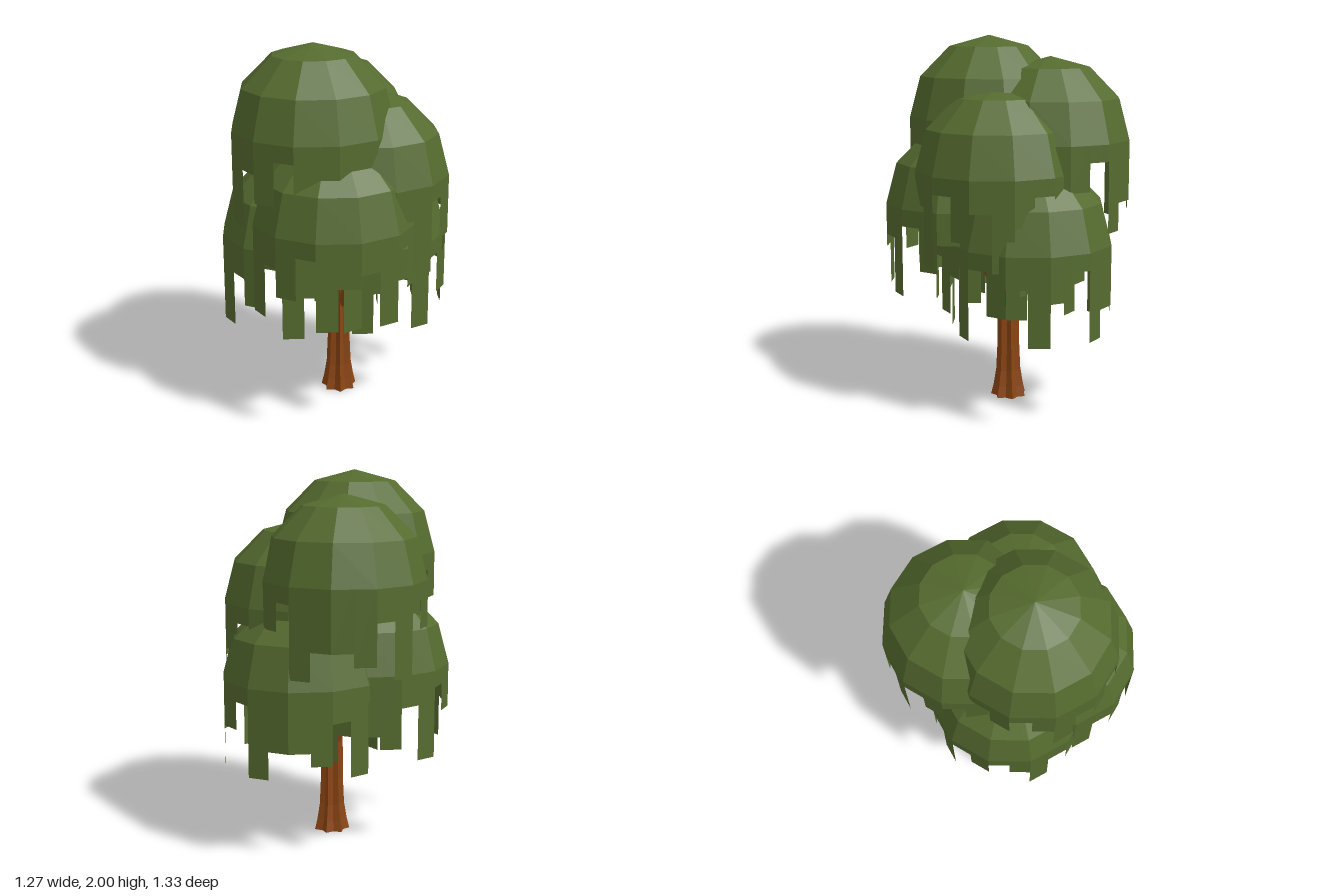
import * as THREE from 'three';

const R = 0.44;
const leaf = new THREE.MeshStandardMaterial({ color: 0x556b2f, flatShading: true, side: THREE.DoubleSide });
const bark = new THREE.MeshStandardMaterial({ color: 0x8b4513, flatShading: true });

// Hanging lengths of the 24 leaf strips, from +x round by +z
const DROPS = [
  0.47, 0.17, 0.32, 0.09, 0.47, 0.17, 0.24, 0.47, 0.09, 0.32, 0.17, 0.47,
  0.24, 0.09, 0.24, 0.09, 0.47, 0.17, 0.39, 0.32, 0.32, 0.47, 0.09, 0.24,
];

// Point on the 12-sided rim; odd steps are the middles of the sides
function rimPoint(i) {
  const corner = (k) => new THREE.Vector2(Math.cos(k * Math.PI / 6), Math.sin(k * Math.PI / 6)).multiplyScalar(R);
  return corner(Math.floor(i / 2)).lerp(corner(Math.floor(i / 2) + 1), (i % 2) / 2);
}

function curtainGeometry() {
  const pos = [];
  DROPS.forEach((d, i) => {
    const a = rimPoint(i), b = rimPoint(i + 1);
    pos.push(a.x, 0, a.y, b.x, 0, b.y, b.x, -d, b.y);
    pos.push(a.x, 0, a.y, b.x, -d, b.y, a.x, -d, a.y);
  });
  const g = new THREE.BufferGeometry();
  g.setAttribute('position', new THREE.Float32BufferAttribute(pos, 3));
  g.computeVertexNormals();
  return g;
}

// Lobed trunk: radius follows a flared profile, alternate corners pushed out
function trunkGeometry() {
  const rings = [[0, 0.088], [0.06, 0.075], [0.15, 0.062], [0.3, 0.056], [0.5, 0.055], [0.62, 0.05], [0.8, 0.03], [1.0, 0.012]];
  const sides = 14, pos = [], index = [];
  for (const [y, r] of rings) {
    for (let i = 0; i < sides; i++) {
      const a = (i / sides) * Math.PI * 2;
      const rr = r * (i % 2 ? 0.84 : 1.14);
      pos.push(rr * Math.cos(a), y, rr * Math.sin(a));
    }
  }
  for (let j = 0; j < rings.length - 1; j++) {
    for (let i = 0; i < sides; i++) {
      const a = j * sides + i, b = j * sides + (i + 1) % sides;
      index.push(a, a + sides, b, b, a + sides, b + sides);
    }
  }
  // Closed ends
  const base = pos.length / 3, top = (rings.length - 1) * sides;
  pos.push(0, 0, 0, 0, 1.01, 0);
  for (let i = 0; i < sides; i++) {
    const n = (i + 1) % sides;
    index.push(base, i, n, base + 1, top + n, top + i);
  }
  const g = new THREE.BufferGeometry();
  g.setAttribute('position', new THREE.Float32BufferAttribute(pos, 3));
  g.setIndex(index);
  g.computeVertexNormals();
  return g;
}

// Tapered limb between two points
function limb(from, to, r0, r1) {
  const a = new THREE.Vector3(...from), b = new THREE.Vector3(...to);
  const dir = b.clone().sub(a);
  const mesh = new THREE.Mesh(new THREE.CylinderGeometry(r1, r0, dir.length(), 6), bark);
  mesh.position.copy(a).add(b).multiplyScalar(0.5);
  mesh.quaternion.setFromUnitVectors(new THREE.Vector3(0, 1, 0), dir.normalize());
  mesh.name = 'branch';
  return mesh;
}

export function createModel() {
  const tree = new THREE.Group();
  tree.name = 'willowTree';

  const trunk = new THREE.Mesh(trunkGeometry(), bark);
  trunk.name = 'trunk';
  tree.add(trunk);

  // Branches fanning out of the upper trunk
  const branches = new THREE.Group();
  branches.name = 'branches';
  const tips = [[-0.12, 0.84, 0.05], [0.03, 0.79, 0.16], [0.13, 0.84, 0.02], [0.05, 0.76, -0.12], [-0.08, 0.82, -0.12]];
  for (const [x, y, z] of tips) {
    branches.add(limb([x * 0.2, 0.52, z * 0.2], [x, y, z], 0.03, 0.012));
  }
  tree.add(branches);

  // Leaf crowns: a dome with a ragged curtain of strips below its rim
  const dome = new THREE.SphereGeometry(R, 12, 3, 0, Math.PI * 2, 0, Math.PI / 2);
  const curtain = curtainGeometry();
  const crowns = [
    [-0.165, 1.56, 0.075], [0.02, 1.45, -0.225], [0.13, 1.3, 0.09],
    [-0.1, 1.1, 0.22], [-0.2, 0.96, -0.05], [0.195, 0.92, -0.08],
  ];
  for (const p of crowns) {
    const crown = new THREE.Group();
    crown.name = 'leafCrown';
    const top = new THREE.Mesh(dome, leaf);
    top.name = 'crownDome';
    const strips = new THREE.Mesh(curtain, leaf);
    strips.name = 'hangingLeaves';
    crown.add(top, strips);
    crown.position.set(...p);
    tree.add(crown);
  }
  return tree;
}
